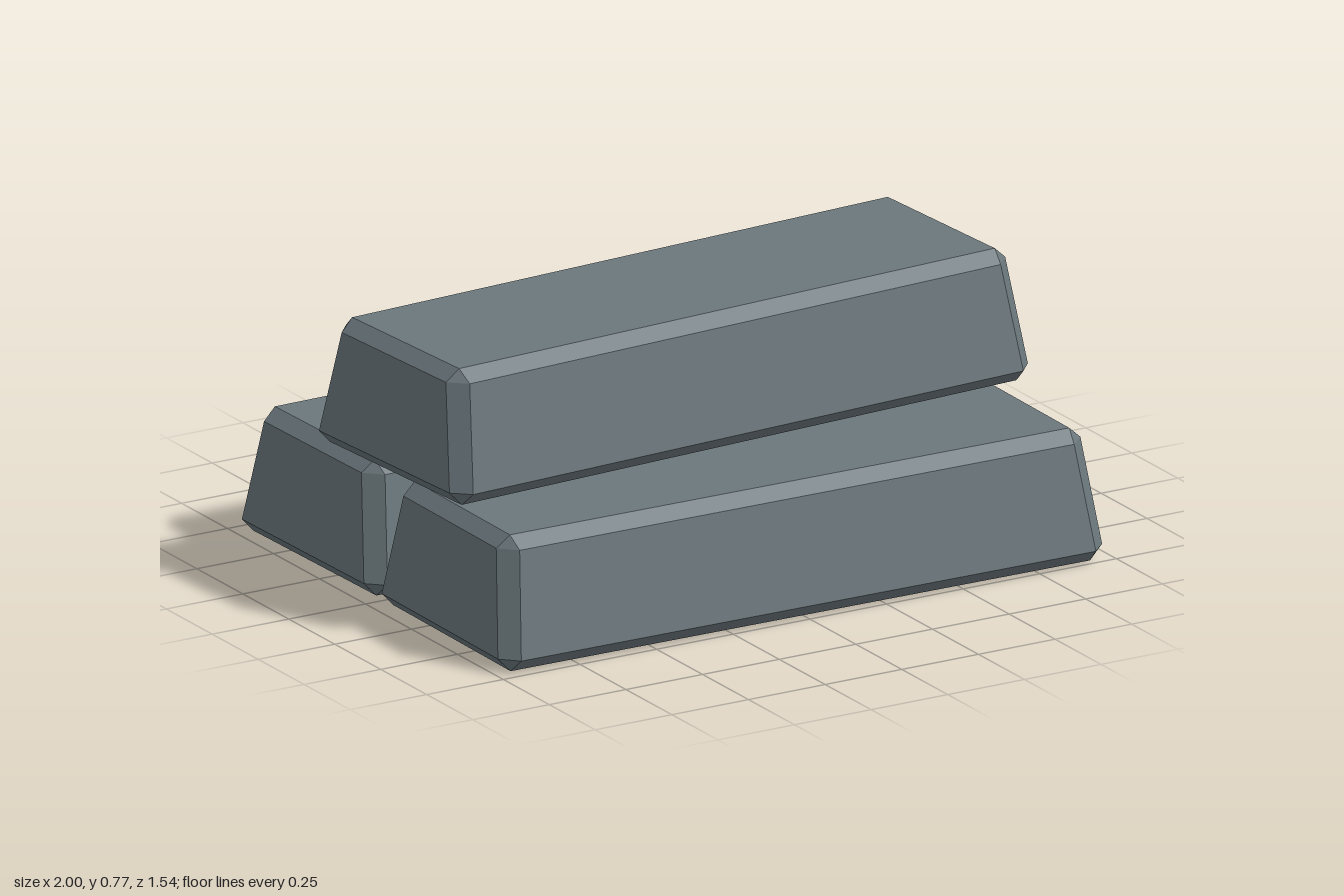
import * as THREE from 'three';

// Tapered bar with chamfered edges, built from four stacked rings
function barGeometry(length) {
  const rings = [
    { y: 0, l: length - 0.08, w: 0.65, cut: 0 },
    { y: 0.042, l: length, w: 0.742, cut: 0.048 },
    { y: 0.345, l: length - 0.065, w: 0.612, cut: 0.048 },
    { y: 0.38, l: length - 0.145, w: 0.53, cut: 0 },
  ];
  const corners = [[1, 1], [1, -1], [-1, -1], [-1, 1]];
  const positions = [];
  const index = [];
  for (const { y, l, w, cut } of rings) {
    for (const [sx, sz] of corners) {
      const onSide = [sx * (l / 2 - cut), y, sz * w / 2];
      const onEnd = [sx * l / 2, y, sz * (w / 2 - cut)];
      positions.push(...(sx * sz > 0 ? [...onSide, ...onEnd] : [...onEnd, ...onSide]));
    }
  }
  for (let r = 0; r < 3; r++) {
    for (let i = 0; i < 8; i++) {
      const a = r * 8 + i, b = r * 8 + (i + 1) % 8;
      const corner = i % 2 === 0; // corner facets close to a point on the end rings
      if (!(corner && r === 0)) index.push(a, b, b + 8);
      else index.push(a, b + 8, a + 8);
      if (r === 1 || !corner) index.push(a, b + 8, a + 8);
    }
  }
  // Flat bottom and top
  index.push(0, 4, 2, 0, 6, 4, 24, 26, 28, 24, 28, 30);
  const indexed = new THREE.BufferGeometry();
  indexed.setAttribute('position', new THREE.Float32BufferAttribute(positions, 3));
  indexed.setIndex(index);
  const geometry = indexed.toNonIndexed();
  geometry.computeVertexNormals();
  return geometry;
}

export function createModel() {
  const group = new THREE.Group();
  group.name = 'ingotStack';
  const metal = new THREE.MeshStandardMaterial({ color: 0x6b777c, flatShading: true });
  metal.name = 'greyMetal';

  // Two bars side by side, one resting askew on top
  const bars = [
    { name: 'frontIngot', length: 1.956, at: [-0.004, 0, 0.387], turn: -0.013 },
    { name: 'backIngot', length: 1.956, at: [-0.004, 0, -0.386], turn: 0.016 },
    { name: 'topIngot', length: 1.961, at: [0, 0.395, 0.008], turn: 0.06 },
  ];
  for (const { name, length, at, turn } of bars) {
    const bar = new THREE.Mesh(barGeometry(length), metal);
    bar.name = name;
    bar.position.set(...at);
    bar.rotation.y = turn;
    group.add(bar);
  }
  return group;
}
